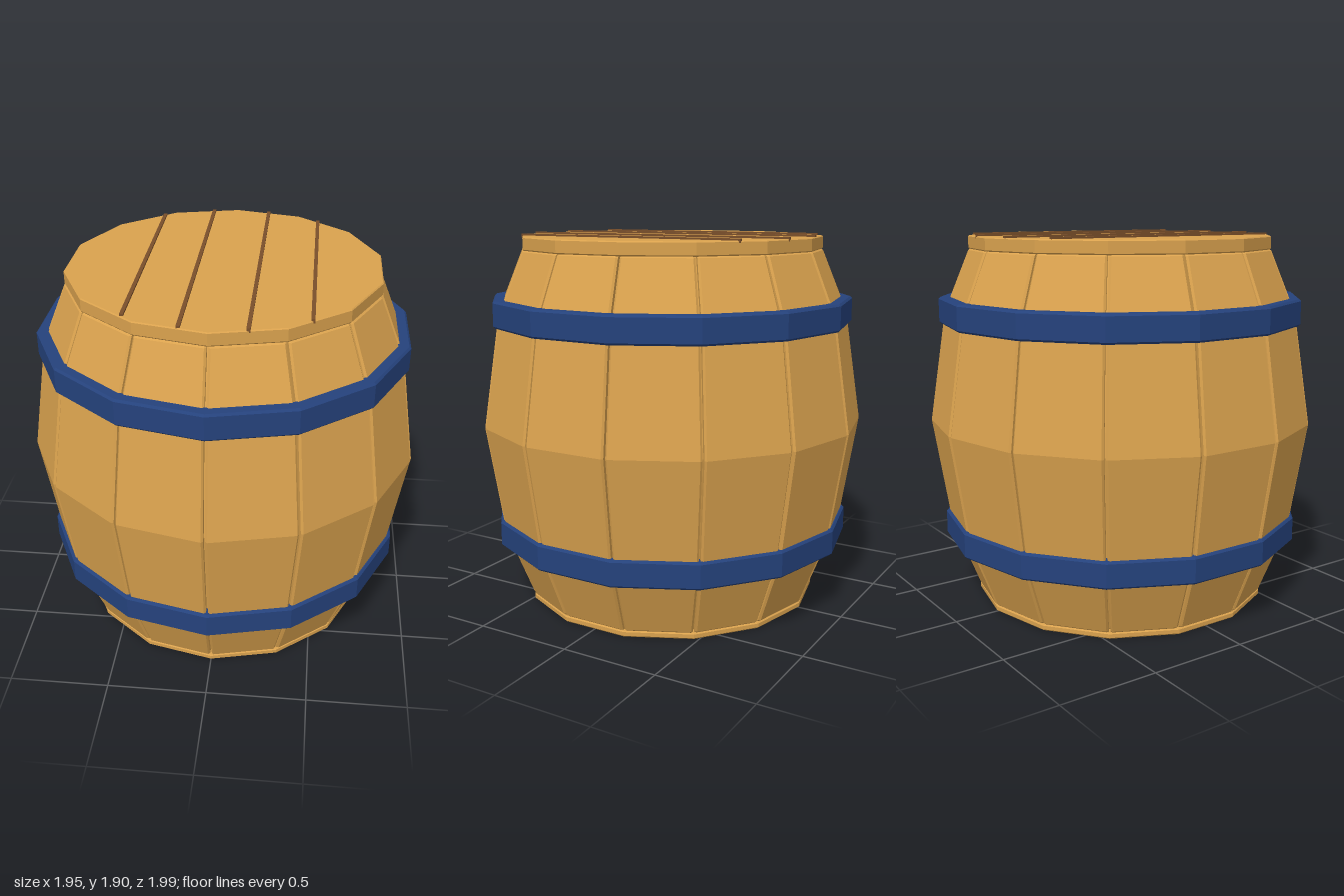
import * as THREE from 'three';

const SIDES = 14;
const HALF = Math.PI / SIDES;

const wood = new THREE.MeshStandardMaterial({ color: 0xdaa24e });
wood.name = 'wood';
const hoopBlue = new THREE.MeshStandardMaterial({ color: 0x25427c });
hoopBlue.name = 'hoop blue';
const darkWood = new THREE.MeshStandardMaterial({ color: 0x7a4f2a });
darkWood.name = 'dark wood';

// Barrel outline as [distance from axis to flat side, height]
const PROFILE = [
  [0.742, 0.03], [0.756, 0.04], [0.89, 0.39], [0.975, 0.95],
  [0.89, 1.51], [0.764, 1.82], [0.75, 1.83],
];

function flat(geometry) {
  const g = geometry.index ? geometry.toNonIndexed() : geometry;
  g.computeVertexNormals();
  return g;
}

function addMesh(parent, name, geometry, material) {
  const mesh = new THREE.Mesh(geometry, material);
  mesh.name = name;
  parent.add(mesh);
  return mesh;
}

// Faceted solid of revolution; radii are given to the flat sides
function facetedLathe(points) {
  const pts = points.map(([a, y]) => new THREE.Vector2(a / Math.cos(HALF), y));
  return flat(new THREE.LatheGeometry(pts, SIDES));
}

// One bent plank with chamfered long edges, lofted up the profile
function staveGeometry() {
  const gap = 0.005, chamfer = 0.01, depth = 0.06;
  const tan = Math.tan(HALF);
  const positions = [];
  const index = [];
  const n = 6;
  for (const [a, y] of PROFILE) {
    const w = a * tan - gap;
    const wIn = (a - depth) * tan - gap;
    const section = [
      [-wIn, a - depth], [-w + 0.002, a - chamfer], [-w + chamfer, a],
      [w - chamfer, a], [w - 0.002, a - chamfer], [wIn, a - depth],
    ];
    for (const [t, r] of section) positions.push(t, y, r);
  }
  const last = PROFILE.length - 1;
  for (let row = 0; row < last; row++) {
    for (let i = 0; i < n; i++) {
      const a = row * n + i, b = row * n + (i + 1) % n;
      index.push(a, b, b + n, a, b + n, a + n);
    }
  }
  for (let i = 1; i < n - 1; i++) {
    index.push(0, i + 1, i);
    index.push(last * n, last * n + i, last * n + i + 1);
  }
  const g = new THREE.BufferGeometry();
  g.setAttribute('position', new THREE.Float32BufferAttribute(positions, 3));
  g.setIndex(index);
  return flat(g);
}

export function createModel() {
  const barrel = new THREE.Group();
  barrel.name = 'barrel';

  // Staves around the body
  const staves = new THREE.Group();
  staves.name = 'staves';
  barrel.add(staves);
  const stave = staveGeometry();
  for (let i = 0; i < SIDES; i++) {
    addMesh(staves, 'stave', stave, wood).rotation.y = (2 * i + 1) * HALF;
  }

  // Inner body closing the seams
  addMesh(barrel, 'innerBody', facetedLathe(PROFILE.map(([a, y]) => [a - 0.04, y])), wood);

  // Bottom and top lids
  addMesh(barrel, 'bottomLid', facetedLathe([
    [0, 0], [0.745, 0], [0.752, 0.007], [0.752, 0.026], [0.747, 0.031], [0, 0.031],
  ]), wood);
  addMesh(barrel, 'topLid', facetedLathe([
    [0, 1.826], [0.755, 1.826], [0.76, 1.832], [0.76, 1.888], [0.755, 1.893], [0, 1.893],
  ]), wood);

  // Hoops with softened rims
  const c = 0.01;
  for (const [name, y0, y1] of [['lowerHoop', 0.32, 0.455], ['upperHoop', 1.45, 1.585]]) {
    addMesh(barrel, name, facetedLathe([
      [0.85, y0], [0.915 - c, y0], [0.915, y0 + c], [0.915, y1 - c],
      [0.915 - c, y1], [0.85, y1], [0.85, y0],
    ]), hoopBlue);
  }

  // Plank joints on the lid
  for (const [x, length] of [[-0.39, 1.3], [-0.13, 1.49], [0.17, 1.48], [0.44, 1.24]]) {
    addMesh(barrel, 'lidJoint', new THREE.BoxGeometry(0.018, 0.02, length), darkWood)
      .position.set(x, 1.892, 0);
  }

  return barrel;
}
